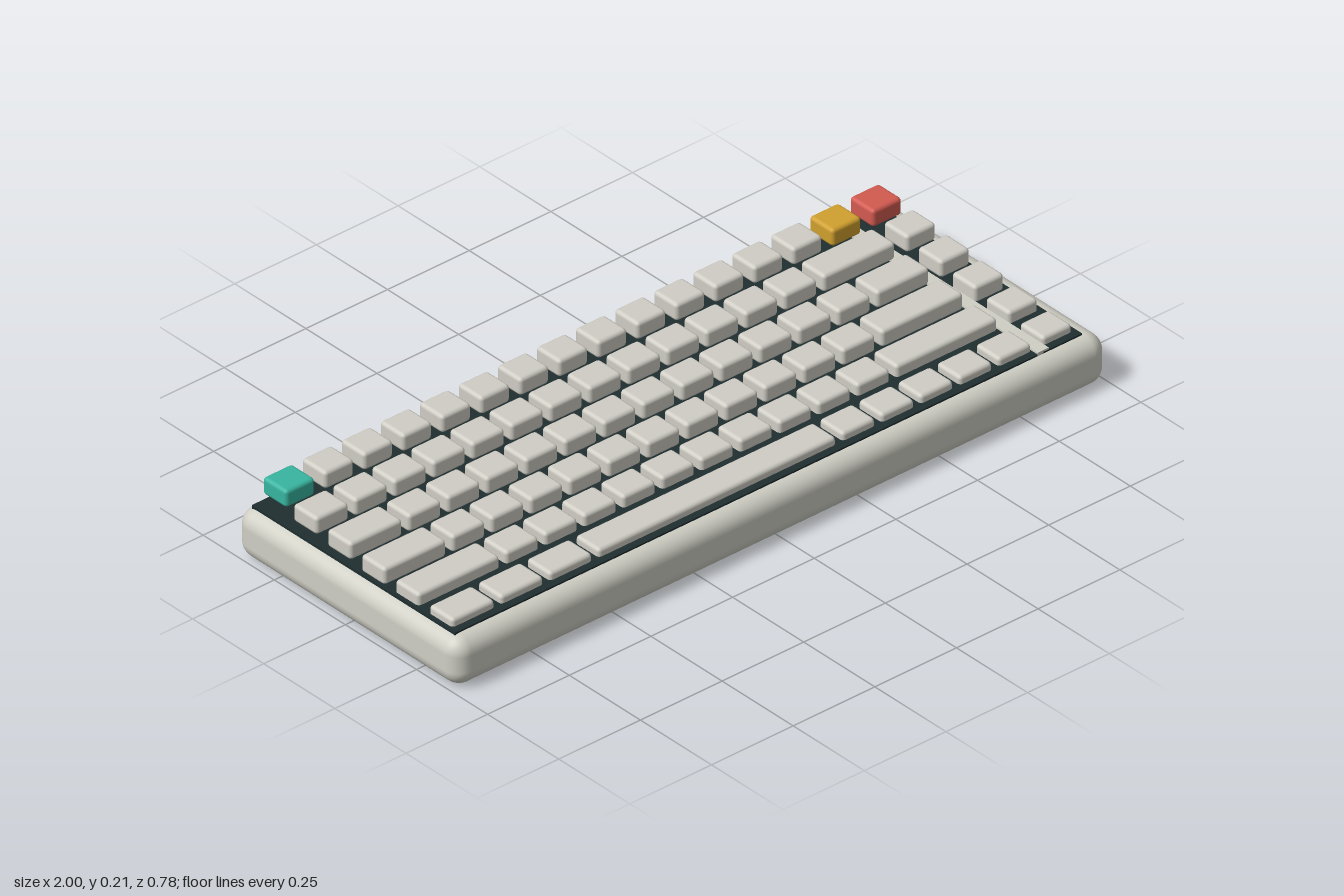
import * as THREE from 'three';
import { RoundedBoxGeometry } from 'three/addons/geometries/RoundedBoxGeometry.js';

const material = (name, color) => {
  const m = new THREE.MeshStandardMaterial({ color });
  m.name = name;
  return m;
};

export function createModel() {
  const caseGrey = material('case grey', 0xcfcfc5);
  const keyGrey = material('key grey', 0xcfcdc4);
  const plateDark = material('plate dark', 0x1f2e30);
  const teal = material('teal', 0x38b5a0);
  const gold = material('gold', 0xd0a02e);
  const red = material('red', 0xd25a50);

  const model = new THREE.Group();
  model.name = 'keyboard';

  const add = (parent, name, geometry, mat, x, y, z) => {
    const mesh = new THREE.Mesh(geometry, mat);
    mesh.name = name;
    mesh.position.set(x, y, z);
    parent.add(mesh);
  };

  // Case with soft edges, dark plate under the keys, divider beside the last column
  add(model, 'case', new RoundedBoxGeometry(2, 0.134, 0.784, 4, 0.045), caseGrey, 0, 0.067, 0);
  add(model, 'plate', new THREE.BoxGeometry(1.92, 0.02, 0.714), plateDark, -0.01, 0.128, -0.006);
  add(model, 'divider', new THREE.BoxGeometry(0.034, 0.02, 0.714), caseGrey, 0.831, 0.133, -0.006);

  // Key rows from back to front, as widths in key units
  const unit = 0.1195, gap = 0.019, left = -0.96, keyHeight = 0.048, keyDepth = 0.084;
  const ones = (n) => Array(n).fill(1);
  const rows = [
    ones(15),
    [...ones(13), 2],
    [1.5, ...ones(12), 1.5],
    [1.75, ...ones(11), 2.25],
    [2.25, ...ones(10), 2.75],
    [1.25, 1.25, 1.25, 6.25, ...ones(5)],
  ];

  rows.forEach((widths, r) => {
    const row = new THREE.Group();
    row.name = `keyRow${r + 1}`;
    model.add(row);
    // Rows step down towards the front
    const y = 0.213 - r * 0.0107 - keyHeight / 2;
    const z = -0.309 + r * 0.1195;
    const key = (name, width, x, mat) =>
      add(row, name, new RoundedBoxGeometry(width, keyHeight, keyDepth, 2, 0.01), mat, x, y, z);

    let start = left;
    widths.forEach((w, i) => {
      // The back row has slightly narrower keys, with coloured end keys
      const width = r === 0 ? 0.09 : w * unit - gap;
      const x = r === 0 ? -0.904 + i * unit : start + width / 2;
      const mat = r > 0 ? keyGrey : i === 0 ? teal : i === 14 ? gold : keyGrey;
      key('key', width, x, mat);
      start += w * unit;
    });

    // Separate right-hand column
    key('sideKey', 0.09, 0.893, r === 0 ? red : keyGrey);
  });

  return model;
}
